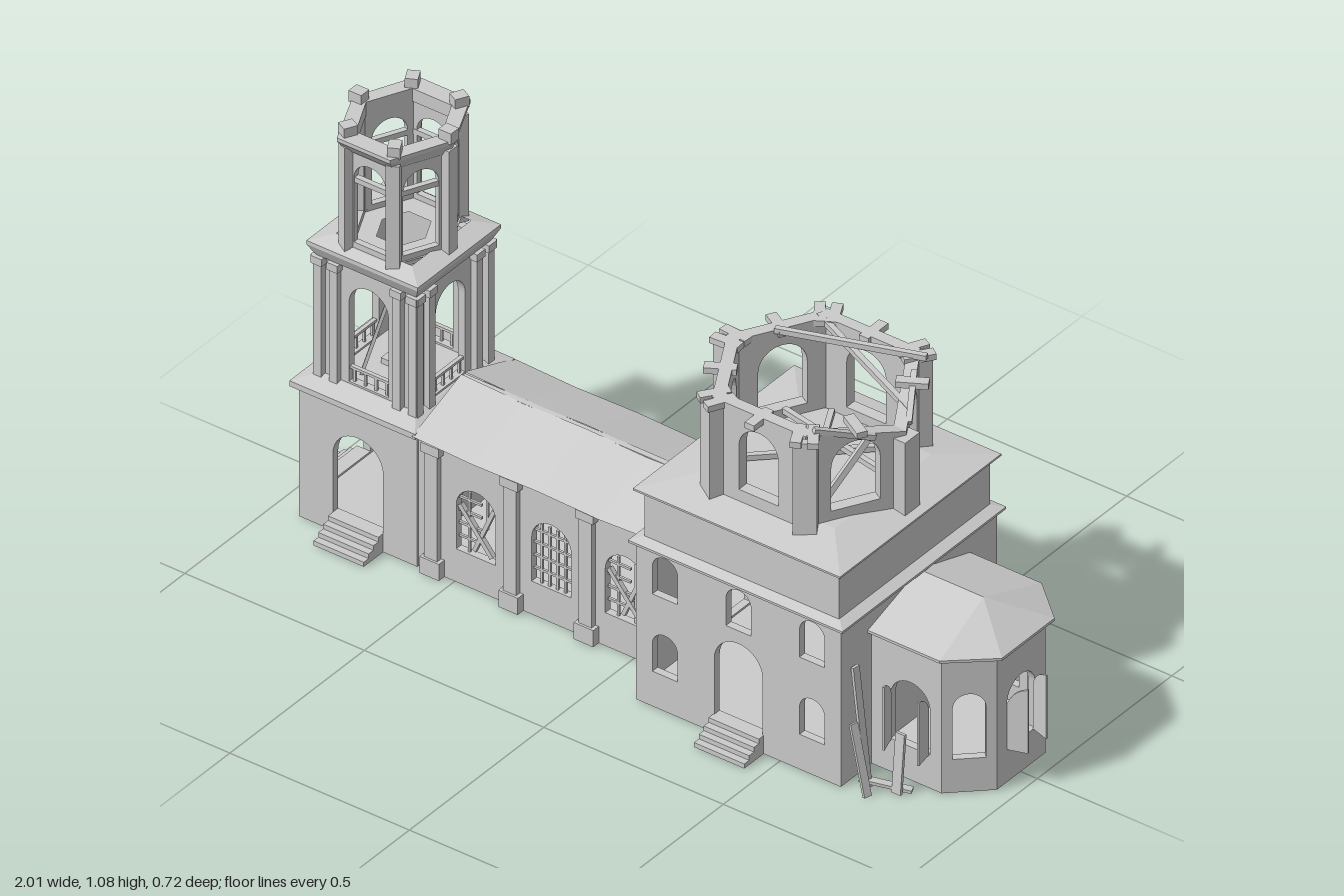
import * as THREE from 'three';

const mat = new THREE.MeshStandardMaterial({ color: 0xcccccc, flatShading: true, side: THREE.DoubleSide });

export function createModel() {
  const root = new THREE.Group();
  const V = (x, y, z) => new THREE.Vector3(x, y, z);

  function add(geo, name, parent = root) {
    const m = new THREE.Mesh(geo, mat);
    m.name = name;
    parent.add(m);
    return m;
  }
  function box(name, x0, x1, y0, y1, z0, z1, parent) {
    const m = add(new THREE.BoxGeometry(x1 - x0, y1 - y0, z1 - z0), name, parent);
    m.position.set((x0 + x1) / 2, (y0 + y1) / 2, (z0 + z1) / 2);
    return m;
  }
  // timber running from a to b
  function beam(name, a, b, w, h = w) {
    const p = V(...a), q = V(...b);
    const m = add(new THREE.BoxGeometry(w, h, p.distanceTo(q)), name);
    m.position.copy(p).add(q).multiplyScalar(0.5);
    m.lookAt(q);
    return m;
  }
  // round-headed opening: c = centre along the wall, w = width, y0..y1
  function arch({ c, w, y0, y1 }) {
    const p = new THREE.Path(), r = w / 2;
    p.moveTo(c - r, y0);
    p.lineTo(c + r, y0);
    p.lineTo(c + r, y1 - r);
    p.absarc(c, y1 - r, r, 0, Math.PI, false);
    p.closePath();
    return p;
  }
  // wall from p to q ([x, z]), outside on the right-hand side; top may differ at both ends
  function wall(name, p, q, y0, y1, holes = [], t = 0.02, y1b = y1) {
    const L = Math.hypot(q[0] - p[0], q[1] - p[1]), h = L / 2;
    const s = new THREE.Shape();
    s.moveTo(-h, y0); s.lineTo(h, y0); s.lineTo(h, y1b); s.lineTo(-h, y1); s.closePath();
    s.holes = holes.map(arch);
    const g = new THREE.ExtrudeGeometry(s, { depth: t, bevelEnabled: false, curveSegments: 8 });
    g.translate(0, 0, -t);
    const m = add(g, name);
    m.position.set((p[0] + q[0]) / 2, 0, (p[1] + q[1]) / 2);
    m.rotation.y = -Math.atan2(q[1] - p[1], q[0] - p[0]);
  }
  // closed ring of walls, holes listed per side
  function walls(name, pts, y0, y1, holes, t) {
    pts.forEach((p, i) => wall(name, p, pts[(i + 1) % pts.length], y0, y1, holes[i] || [], t));
  }
  const rect = (x0, x1, z) => [[x0, z], [x1, z], [x1, -z], [x0, -z]];
  // stretched hexagon, corners on the x axis
  const hex = (cx, rx, rz) => [[-0.52, 1], [0.52, 1], [1, 0], [0.52, -1], [-0.52, -1], [-1, 0]]
    .map(([a, b]) => [cx + a * rx, b * rz]);
  // skin through outlines, each [points, height]
  function loft(name, rings) {
    const pos = [];
    for (let k = 0; k < rings.length - 1; k++) {
      const [A, ya] = rings[k], [B, yb] = rings[k + 1];
      A.forEach((p, i) => {
        const j = (i + 1) % A.length;
        const a = [p[0], ya, p[1]], b = [A[j][0], ya, A[j][1]];
        const c = [B[j][0], yb, B[j][1]], d = [B[i][0], yb, B[i][1]];
        pos.push(...a, ...b, ...c, ...a, ...c, ...d);
      });
    }
    const g = new THREE.BufferGeometry();
    g.setAttribute('position', new THREE.Float32BufferAttribute(pos, 3));
    g.computeVertexNormals();
    return add(g, name);
  }
  // stairs falling away along +z from the origin
  function stairs(x, z, turn) {
    const g = new THREE.Group();
    g.name = 'entranceSteps';
    for (let i = 0; i < 4; i++) box('step', -0.07, 0.07, 0, 0.05 - i * 0.0125, -0.01, 0.018 * (i + 1), g);
    g.position.set(x, 0, z);
    g.rotation.y = turn;
    root.add(g);
  }

  // ---- entrance tower ----
  const T = -0.765;
  const door = { c: 0, w: 0.14, y0: 0.05, y1: 0.28 };
  walls('towerBaseWall', rect(-0.93, -0.6, 0.17), 0, 0.36, [[door], [], [door], [door]]);
  loft('towerBaseCornice', [[rect(-0.945, -0.595, 0.185), 0.355], [rect(-0.945, -0.595, 0.185), 0.37],
    [rect(-0.9, -0.63, 0.135), 0.385], [rect(T, T, 0), 0.385]]);
  stairs(T, 0.17, 0);
  stairs(T, -0.17, Math.PI);
  stairs(-0.93, 0, -Math.PI / 2);
  const belfry = { c: 0, w: 0.11, y0: 0.39, y1: 0.66 };
  walls('belfryWall', rect(-0.895, -0.635, 0.13), 0.37, 0.73, [[belfry], [belfry], [belfry], [belfry]]);
  for (let k = 0; k < 4; k++) {
    const side = new THREE.Group();
    side.name = 'belfrySide';
    for (const x of [-0.132, -0.088, 0.088, 0.132]) {
      box('pilaster', x - 0.011, x + 0.011, 0.37, 0.7, 0.125, 0.146, side);
      box('pilasterCapital', x - 0.015, x + 0.015, 0.685, 0.705, 0.125, 0.15, side);
    }
    for (const x of [-0.045, -0.015, 0.015, 0.045]) box('baluster', x - 0.003, x + 0.003, 0.385, 0.425, 0.118, 0.124, side);
    box('handrail', -0.055, 0.055, 0.423, 0.43, 0.116, 0.126, side);
    side.position.x = T;
    side.rotation.y = k * Math.PI / 2;
    root.add(side);
  }
  beam('fallenBrace', [-0.815, 0.39, 0.09], [-0.75, 0.65, 0.05], 0.008);
  box('belfryStair', -0.81, -0.72, 0.38, 0.4, -0.025, 0.025);
  loft('belfryCornice', [[rect(-0.905, -0.625, 0.14), 0.705], [rect(-0.92, -0.61, 0.155), 0.735],
    [rect(-0.92, -0.61, 0.155), 0.745], [rect(-0.87, -0.66, 0.11), 0.76]]);
  loft('lanternFloor', [[hex(T, 0.13, 0.13), 0.755], [hex(T, 0.06, 0.06), 0.755]]);

  // ---- open lantern ----
  const lant = hex(T, 0.125, 0.125);
  const lightHole = { c: 0, w: 0.09, y0: 0.77, y1: 0.99 };
  walls('lanternWall', lant, 0.74, 1.04, lant.map(() => [lightHole]), 0.016);
  loft('lanternCornice', [[hex(T, 0.128, 0.128), 1.015], [hex(T, 0.142, 0.15), 1.045], [hex(T, 0.142, 0.15), 1.055],
    [hex(T, 0.105, 0.105), 1.055], [hex(T, 0.105, 0.105), 1.02]]);
  lant.forEach(([x, z], i) => {
    const turn = Math.atan2(x - T, z);
    const p = add(new THREE.BoxGeometry(0.032, 0.29, 0.026), 'lanternPilaster');
    p.position.set(x, 0.885, z);
    p.rotation.y = turn;
    const b = add(new THREE.BoxGeometry(0.03, 0.03, 0.035), 'rimBlock');
    b.position.set(x, 1.065, z * 0.96);
    b.rotation.y = turn;
    const [u, w] = lant[(i + 1) % 6];
    beam('lanternTieBeam', [T + (x - T) * 0.92, 0.937, z * 0.92], [T + (u - T) * 0.92, 0.937, w * 0.92], 0.014);
  });

  // ---- nave ----
  const bays = [-0.44, -0.23, -0.025];
  const naveC = -0.25;
  for (const s of [1, -1]) {
    const holes = bays.map(x => ({ c: s * (x - naveC), w: 0.11, y0: 0.09, y1: 0.265 }));
    wall('naveWall', [naveC - s * 0.36, s * 0.165], [naveC + s * 0.36, s * 0.165], 0, 0.365, holes);
    for (const x of [-0.555, -0.335, -0.125, 0.08]) {
      box('navePilaster', x - 0.018, x + 0.018, 0, 0.35, s * 0.17 - 0.01, s * 0.17 + 0.01);
      box('pilasterPlinth', x - 0.027, x + 0.027, 0, 0.045, s * 0.17 - 0.016, s * 0.17 + 0.016);
      box('pilasterCapital', x - 0.025, x + 0.025, 0.33, 0.355, s * 0.17 - 0.014, s * 0.17 + 0.014);
    }
    bays.forEach((x, i) => {
      const z = s * 0.155;
      // glazing bars, sound in the middle bay and broken in the others
      for (const d of i === 1 ? [-0.033, -0.011, 0.011, 0.033] : [-0.025, 0.025])
        box('windowBar', x + d - 0.003, x + d + 0.003, i === 0 && d > 0 ? 0.17 : 0.09, 0.25, z - 0.003, z + 0.003);
      for (const y of [0.125, 0.16, 0.195, 0.23])
        box('windowCrossbar', x - 0.053, i === 1 ? x + 0.053 : x + 0.01, y - 0.003, y + 0.003, z - 0.003, z + 0.003);
      if (i !== 1) {
        beam('boardedPlank', [x - 0.05, 0.21, z], [x + 0.04, 0.1, z], 0.012);
        beam('boardedPlank', [x - 0.01, 0.1, z], [x + 0.045, 0.23, z], 0.01);
      }
    });
  }
  // sagging gable roof, one outline on each side of the ridge
  const stations = [-0.6, -0.43, -0.25, -0.08, 0.11];
  const sag = [0, -0.006, -0.003, -0.008, 0];
  for (const s of [1, -1]) {
    const g = new THREE.PlaneGeometry(1, 1, 4, 1), p = g.attributes.position;
    for (let i = 0; i < 10; i++) {
      const k = s > 0 ? i % 5 : 4 - i % 5;
      p.setXYZ(i, stations[k], (i < 5 ? 0.432 : 0.365) + sag[k], s * (i < 5 ? 0.006 : 0.19));
    }
    add(g, 'naveRoof');
  }
  box('ridgeBeam', -0.6, 0.11, 0.41, 0.426, -0.008, 0.008);

  // ---- crossing block ----
  const C = 0.385;
  const small = (c, y0, y1) => ({ c, w: 0.07, y0, y1 });
  const blockHoles = [{ c: 0, w: 0.135, y0: 0.05, y1: 0.27 }, small(0, 0.305, 0.415)];
  for (const c of [-0.205, 0.205]) blockHoles.push(small(c, 0.095, 0.205), small(c, 0.305, 0.415));
  walls('crossingWall', rect(0.1, 0.67, 0.29), 0, 0.43, [blockHoles, [{ c: 0, w: 0.22, y0: 0.05, y1: 0.3 }], blockHoles,
    [{ c: 0, w: 0.22, y0: 0.05, y1: 0.3 }]]);
  stairs(C, 0.29, 0);
  stairs(C, -0.29, Math.PI);
  loft('crossingLowerRoof', [[rect(0.1, 0.67, 0.288), 0.428], [rect(0.088, 0.685, 0.305), 0.43],
    [rect(0.088, 0.685, 0.305), 0.436], [rect(0.12, 0.655, 0.275), 0.447]]);
  walls('crossingAtticWall', rect(0.115, 0.658, 0.28), 0.435, 0.572, []);
  loft('crossingUpperRoof', [[rect(0.115, 0.658, 0.28), 0.57], [rect(0.098, 0.675, 0.3), 0.573],
    [rect(0.098, 0.675, 0.3), 0.578], [rect(0.2, 0.57, 0.18), 0.6], [rect(C, C, 0), 0.6]]);

  // ---- ruined drum ----
  const drum = hex(C, 0.25, 0.215);
  drum.forEach((p, i) => {
    const q = drum[(i + 1) % 6];
    // the two sides facing the apse are broken down towards their shared corner
    const top = i === 2 ? 0.79 : 0.845, end = i === 1 ? 0.79 : 0.845;
    const w = i % 3 === 0 ? 0.11 : 0.12;
    wall('drumWall', p, q, 0.575, top, [{ c: 0, w, y0: 0.625, y1: 0.8 }], 0.03, end);
    const pil = add(new THREE.BoxGeometry(0.055, i === 2 ? 0.2 : 0.255, 0.035), 'drumPilaster');
    pil.position.set(p[0], i === 2 ? 0.68 : 0.71, p[1]);
    pil.rotation.y = Math.atan2(p[0] - C, p[1]);
    // rafter stubs along the rim
    for (const f of [0.08, 0.5, 0.92]) {
      if ((i === 1 && f > 0.6) || (i === 2 && f < 0.4)) continue;
      const x = p[0] + (q[0] - p[0]) * f, z = p[1] + (q[1] - p[1]) * f;
      const l = Math.hypot(x - C, z), u = (x - C) / l, v = z / l;
      beam('rafterStub', [x - u * 0.04, 0.837, z - v * 0.04], [x + u * 0.035, 0.837, z + v * 0.035], 0.026, 0.016);
    }
  });
  // fallen roof timbers
  const timbers = [
    [[0.22, 0.62, -0.1], [0.58, 0.63, -0.02]], [[0.25, 0.61, 0.09], [0.52, 0.61, -0.17]],
    [[0.3, 0.61, -0.17], [0.46, 0.61, 0.14]], [[0.21, 0.845, -0.08], [0.55, 0.85, -0.19]],
    [[0.25, 0.84, -0.19], [0.6, 0.8, -0.06]], [[0.52, 0.85, 0.19], [0.6, 0.8, 0.07]],
    [[0.56, 0.85, -0.13], [0.62, 0.79, -0.03]], [[0.5, 0.61, 0.14], [0.58, 0.79, 0.06]]];
  timbers.forEach(([a, b]) => beam('fallenTimber', a, b, 0.014));

  // ---- apse ----
  const apse = [[0.66, 0.175], [0.865, 0.175], [0.955, 0.09], [0.955, -0.09], [0.865, -0.175], [0.66, -0.175]];
  const tall = (c, w) => [{ c, w, y0: 0.09, y1: 0.265 }];
  walls('apseWall', apse, 0, 0.365, [tall(0.015, 0.11), tall(0, 0.075), tall(0, 0.105), tall(0, 0.075), tall(-0.015, 0.11)]);
  const eaves = [[0.66, 0.19], [0.87, 0.19], [0.975, 0.098], [0.975, -0.098], [0.87, -0.19], [0.66, -0.19]];
  const ridge = [[0.66, 0], [0.85, 0], [0.85, 0], [0.85, 0], [0.85, 0], [0.66, 0]];
  loft('apseRoof', [[apse, 0.36], [eaves, 0.363], [eaves, 0.37], [ridge, 0.43]]);
  // open shutters, arched on the hinge side only
  function shutter(x, z, turn) {
    const s = new THREE.Shape();
    s.moveTo(0, 0.09); s.lineTo(0.05, 0.09); s.lineTo(0.05, 0.262);
    s.quadraticCurveTo(0.015, 0.255, 0, 0.215);
    const m = add(new THREE.ExtrudeGeometry(s, { depth: 0.005, bevelEnabled: false, curveSegments: 5 }), 'shutter');
    m.position.set(x, 0, z);
    m.rotation.y = turn;
  }
  for (const s of [1, -1]) {
    shutter(0.725, s * 0.175, -s * 1.25);
    shutter(0.83, s * 0.175, -s * 1.4);
    shutter(0.955, s * 0.05, s * 0.3);
  }
  // planks leaning beside the apse
  beam('leaningPlank', [0.72, 0, 0.255], [0.68, 0.31, 0.25], 0.02, 0.008);
  beam('leaningPlank', [0.74, 0, 0.285], [0.69, 0.17, 0.27], 0.02, 0.008);
  beam('leaningPlank', [0.785, 0, 0.235], [0.785, 0.155, 0.22], 0.025, 0.008);
  beam('leaningPlank', [0.81, 0.005, 0.21], [0.7, 0.02, 0.26], 0.02, 0.008);

  // ---- floor ----
  const half = [[-0.92, 0.16], [0.11, 0.16], [0.11, 0.28], [0.66, 0.28], [0.66, 0.165], [0.86, 0.165], [0.945, 0.085]];
  const outline = [...half, ...half.map(([x, z]) => [x, -z]).reverse()];
  const floor = add(new THREE.ShapeGeometry(new THREE.Shape(outline.map(p => new THREE.Vector2(p[0], p[1])))), 'floor');
  floor.rotation.x = -Math.PI / 2;
  floor.position.y = 0.045;

  return root;
}
